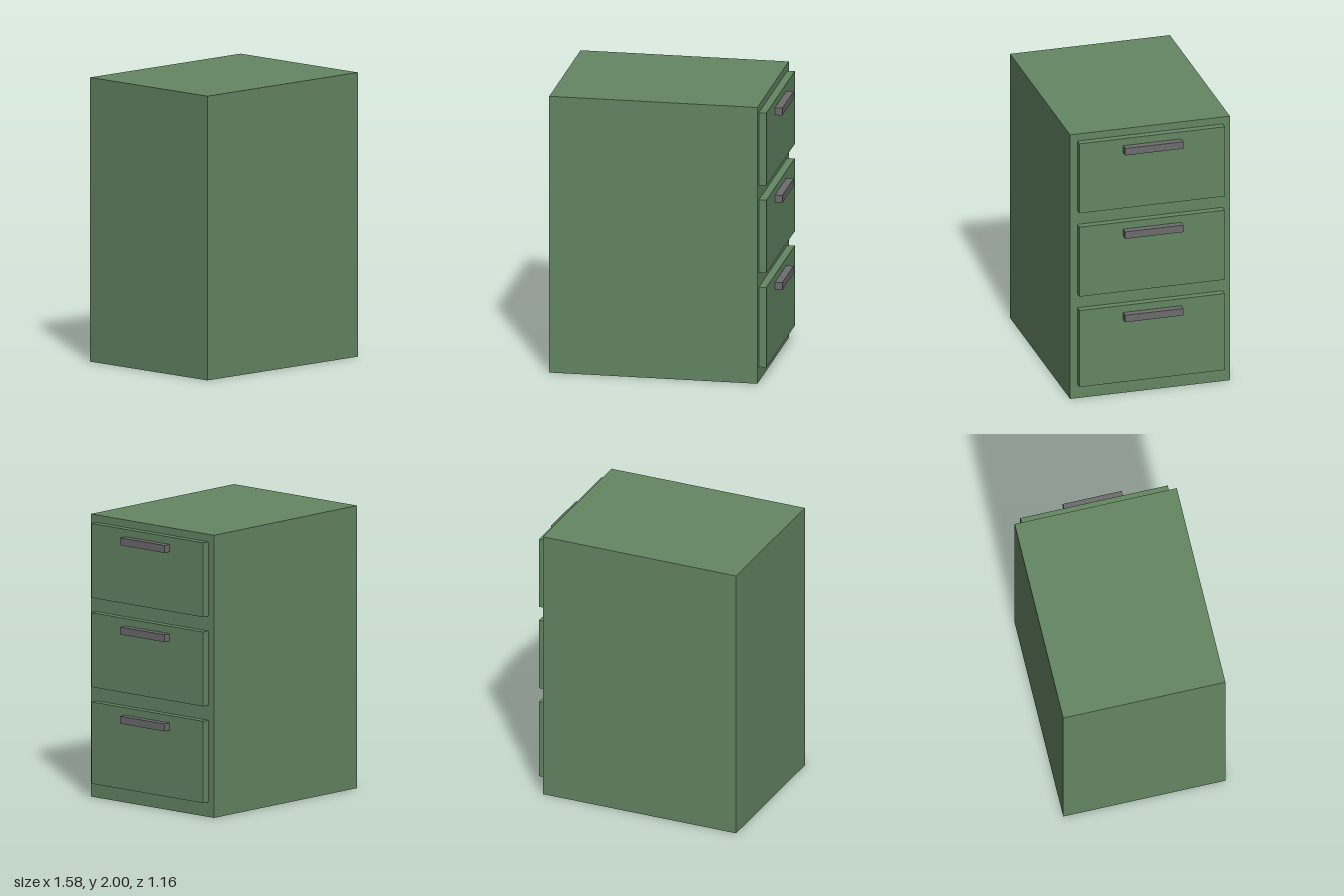
import * as THREE from 'three';

// The cabinet is laid out on a grid: 38 steps tall for 2 units.
const U = 2 / 38;

export function createModel() {
  const group = new THREE.Group();
  group.name = 'drawerCabinet';

  const green = new THREE.MeshStandardMaterial({ color: 0x648664 });
  green.name = 'green paint';
  const grey = new THREE.MeshStandardMaterial({ color: 0x6c6c6c });
  grey.name = 'grey metal';

  // Box given by its x and y ranges and its depth, in grid steps
  function box(name, material, x0, x1, y0, y1, depth) {
    const geometry = new THREE.BoxGeometry((x1 - x0) * U, (y1 - y0) * U, depth * U);
    const mesh = new THREE.Mesh(geometry, material);
    mesh.position.set(((x0 + x1) / 2) * U, ((y0 + y1) / 2) * U, 0);
    mesh.name = name;
    return mesh;
  }

  // Cabinet body
  group.add(box('body', green, -15, 13, 0, 38, 22));

  // Drawers on the +x side, each with a bar handle near its top
  const drawers = [
    ['bottom', 2, 13],
    ['middle', 15, 25],
    ['top', 27, 37],
  ];
  for (const [place, low, high] of drawers) {
    const drawer = new THREE.Group();
    drawer.name = place + 'Drawer';
    drawer.add(box(place + 'DrawerFront', green, 13, 14, low, high, 20));
    drawer.add(box(place + 'Handle', grey, 14, 15, high - 2, high - 1, 8));
    group.add(drawer);
  }

  return group;
}
